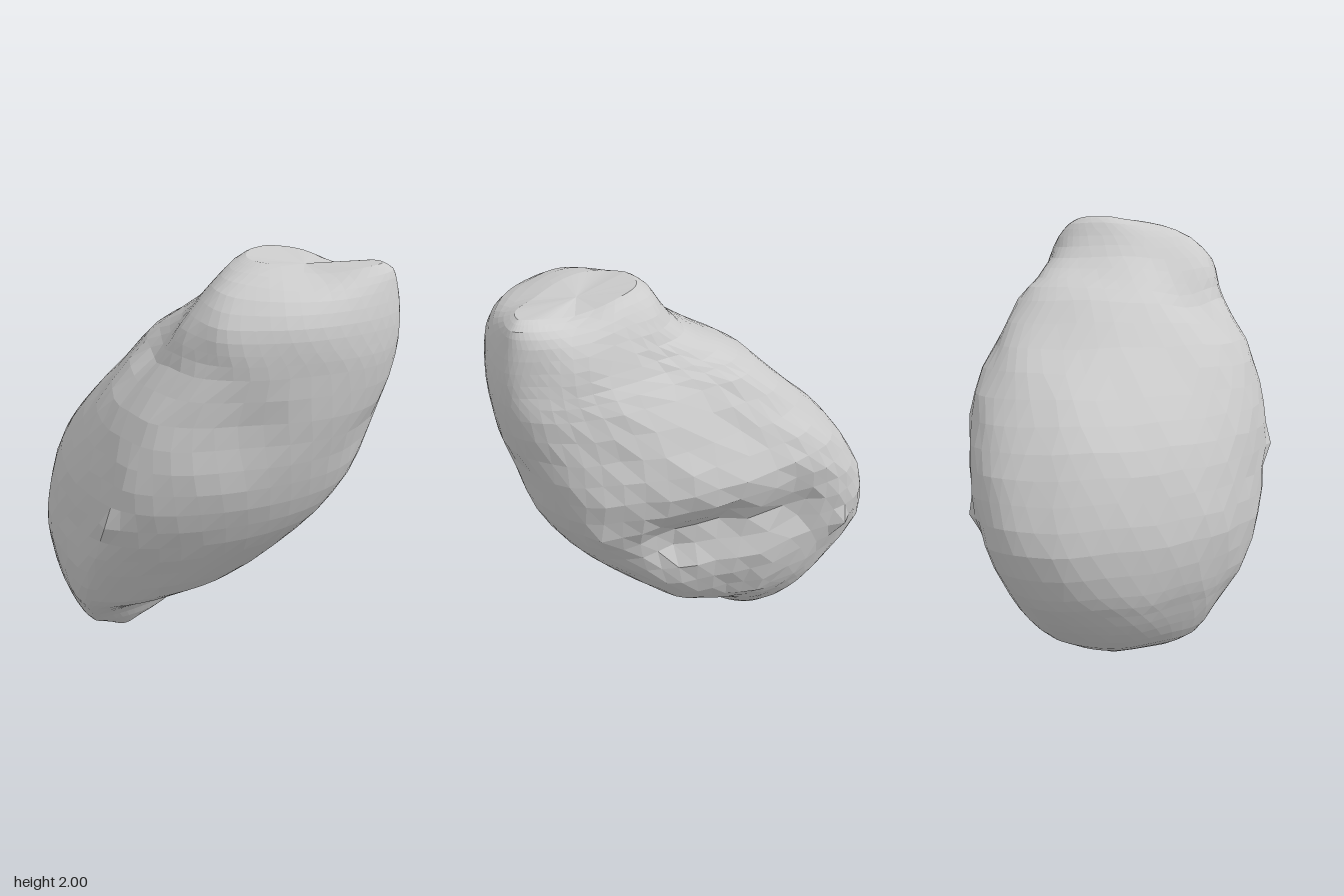
import * as THREE from 'three';

// Horizontal cross-sections, bottom to top: height, then the (x, z) of the
// right-hand, front, left-hand and back extremes of the outline.
const SECTIONS = [
  // y,   +x side,       front,        -x side,       back
  [0.045, -0.22, 0.10, -0.30, 0.27, -0.49, 0.03, -0.38, -0.11],
  [0.10, -0.16, 0.08, -0.28, 0.38, -0.60, 0.00, -0.40, -0.28],
  [0.20, -0.09, 0.04, -0.22, 0.47, -0.72, -0.05, -0.40, -0.37],
  [0.30, 0.08, 0.00, -0.18, 0.54, -0.80, -0.10, -0.36, -0.43],
  [0.40, 0.26, -0.04, -0.13, 0.60, -0.86, -0.13, -0.30, -0.48],
  [0.60, 0.46, -0.08, -0.04, 0.66, -0.92, -0.16, -0.24, -0.55],
  [0.80, 0.63, -0.10, 0.06, 0.68, -0.89, -0.17, -0.18, -0.60],
  [1.00, 0.75, -0.12, 0.14, 0.69, -0.81, -0.19, -0.10, -0.63],
  [1.20, 0.82, -0.15, 0.22, 0.66, -0.65, -0.20, 0.00, -0.65],
  [1.40, 0.88, -0.18, 0.28, 0.59, -0.44, -0.20, 0.14, -0.59],
  [1.60, 0.91, -0.20, 0.42, 0.47, -0.24, -0.19, 0.28, -0.51],
  [1.70, 0.915, -0.21, 0.46, 0.44, -0.08, -0.17, 0.40, -0.46],
  [1.80, 0.91, -0.22, 0.48, 0.40, 0.09, -0.15, 0.50, -0.43],
  [1.90, 0.89, -0.25, 0.48, 0.29, 0.18, -0.12, 0.58, -0.40],
  [1.96, 0.87, -0.28, 0.44, 0.14, 0.22, -0.11, 0.62, -0.36],
  [1.99, 0.83, -0.27, 0.42, 0.02, 0.27, -0.11, 0.60, -0.31],
];

// Dents, lumps and small spikes: centre, radius, push
const FEATURES = [
  [0.10, 1.56, 0.24, 0.17, 0.05, -0.06, -0.05],   // valley below the top lump
  [-0.02, 1.46, 0.06, 0.14, 0.02, -0.03, 0],      // its upper end
  [0.55, 1.34, 0.32, 0.15, -0.03, 0, -0.03],      // crease under the head
  [0.84, 1.27, -0.20, 0.10, -0.02, 0, 0],         // its end on the side
  [0.28, 0.86, -0.56, 0.15, -0.01, 0.02, 0.11],   // hollow in the back
  [0.03, 0.89, -0.62, 0.14, 0, 0.02, 0.11],
  [-0.28, 0.84, -0.62, 0.13, 0, 0.02, 0.07],
  [-0.08, 1.17, -0.66, 0.06, 0, 0, -0.07],        // back spikes
  [-0.60, 0.72, -0.55, 0.06, -0.02, 0, -0.04],
  [-0.20, 0.44, -0.48, 0.06, 0, 0, -0.04],
  [0.60, 1.00, -0.46, 0.05, 0.02, 0, -0.03],
  [0.12, 0.92, 0.69, 0.05, 0, 0, 0.03],           // front spike
  [0.60, 1.98, -0.28, 0.13, 0, -0.03, 0.02],      // notch in the top
  [0.64, 1.98, -0.05, 0.16, 0, -0.035, 0],
  [0.31, 2.00, -0.14, 0.08, 0, 0.015, 0],         // peak beside it
  [-0.27, 0.04, 0.20, 0.06, 0, -0.03, 0],         // foot nub
];

const SIDES = 48, ROWS = 2;

// Catmull-Rom blend of the section table
function sectionAt(t) {
  const last = SECTIONS.length - 1;
  const i = Math.min(Math.floor(t), last - 1), f = t - i;
  const pick = (k) => SECTIONS[Math.max(0, Math.min(last, k))];
  const [a, b, c, d] = [pick(i - 1), pick(i), pick(i + 1), pick(i + 2)];
  return b.map((_, k) => 0.5 * (2 * b[k] + (c[k] - a[k]) * f
    + (2 * a[k] - 5 * b[k] + 4 * c[k] - d[k]) * f * f
    + (3 * b[k] - a[k] - 3 * c[k] + d[k]) * f * f * f));
}

// Point on a section: four superellipse quarters joining the extremes,
// squarer at the back and towards the head
function outline([y, rx, rz, fx, fz, lx, lz, bx, bz], angle) {
  const c = Math.cos(angle), s = Math.sin(angle);
  const body = THREE.MathUtils.smoothstep(y, 0.2, 0.5);
  const head = THREE.MathUtils.smoothstep(y, 1.35, 1.75);
  const front = c > 0 ? 1.62 + 0.1 * head : 1.63 + 0.4 * head;
  const back = c > 0 ? 2.25 + 0.75 * head : 2.3 + 0.7 * body;
  const power = s > 0 ? front : back;
  const u = Math.abs(c) ** (2 / power), v = Math.abs(s) ** (2 / power);
  const sideX = c > 0 ? rx : lx, sideZ = c > 0 ? rz : lz;
  const endX = s > 0 ? fx : bx, endZ = s > 0 ? fz : bz;
  return new THREE.Vector3(endX + (sideX - endX) * u, y, sideZ + (endZ - sideZ) * v);
}

function sculpt(p) {
  const o = p.clone();
  for (const [x, y, z, r, dx, dy, dz] of FEATURES) {
    const d2 = (o.x - x) ** 2 + (o.y - y) ** 2 + (o.z - z) ** 2;
    const w = Math.exp(-d2 / (r * r));
    p.x += dx * w; p.y += dy * w; p.z += dz * w;
  }
  // Uneven surface, rougher at the back
  const rough = 0.005 + 0.005 * THREE.MathUtils.smoothstep(-o.z, 0.2, 0.45);
  p.x += rough * Math.sin(9 * o.y + 7 * o.z + 1);
  p.z += rough * (Math.sin(11 * o.x - 8 * o.y) + 0.6 * Math.sin(23 * o.x + 19 * o.y));
  p.y = Math.min(2, Math.max(0, p.y + 0.005 * Math.sin(14 * o.x + 10 * o.z)));
  return p;
}

function rockGeometry() {
  const points = [], index = [];
  const rings = (SECTIONS.length - 1) * ROWS + 1;
  for (let j = 0; j < rings; j++) {
    const section = sectionAt(j / ROWS);
    for (let i = 0; i < SIDES; i++) {
      points.push(sculpt(outline(section, ((i + (j % 2) * 0.5) / SIDES) * Math.PI * 2)));
    }
  }
  // Skin between rings, on a staggered triangle pattern
  for (let j = 0; j < rings - 1; j++) {
    for (let i = 0; i < SIDES; i++) {
      const n = (i + 1) % SIDES;
      const a = j * SIDES + i, b = j * SIDES + n;
      const c = a + SIDES, d = b + SIDES;
      if (j % 2) index.push(a, d, b, a, c, d);
      else index.push(a, c, b, b, c, d);
    }
  }
  // Close both ends with a fan
  const close = (start, centre, up) => {
    const tip = points.push(centre) - 1;
    for (let i = 0; i < SIDES; i++) {
      const a = start + i, b = start + (i + 1) % SIDES;
      if (up) index.push(a, tip, b);
      else index.push(a, b, tip);
    }
  };
  close(0, new THREE.Vector3(-0.39, 0, 0.01), false);
  close((rings - 1) * SIDES, new THREE.Vector3(0.52, 1.965, -0.15), true);

  const geometry = new THREE.BufferGeometry().setFromPoints(points);
  geometry.setIndex(index);
  const flat = geometry.toNonIndexed();
  flat.computeVertexNormals();
  return flat;
}

export function createModel() {
  const group = new THREE.Group();
  group.name = 'rock';
  const material = new THREE.MeshStandardMaterial({ color: 0xcccccc, flatShading: true });
  const body = new THREE.Mesh(rockGeometry(), material);
  body.name = 'rockBody';
  group.add(body);
  return group;
}
